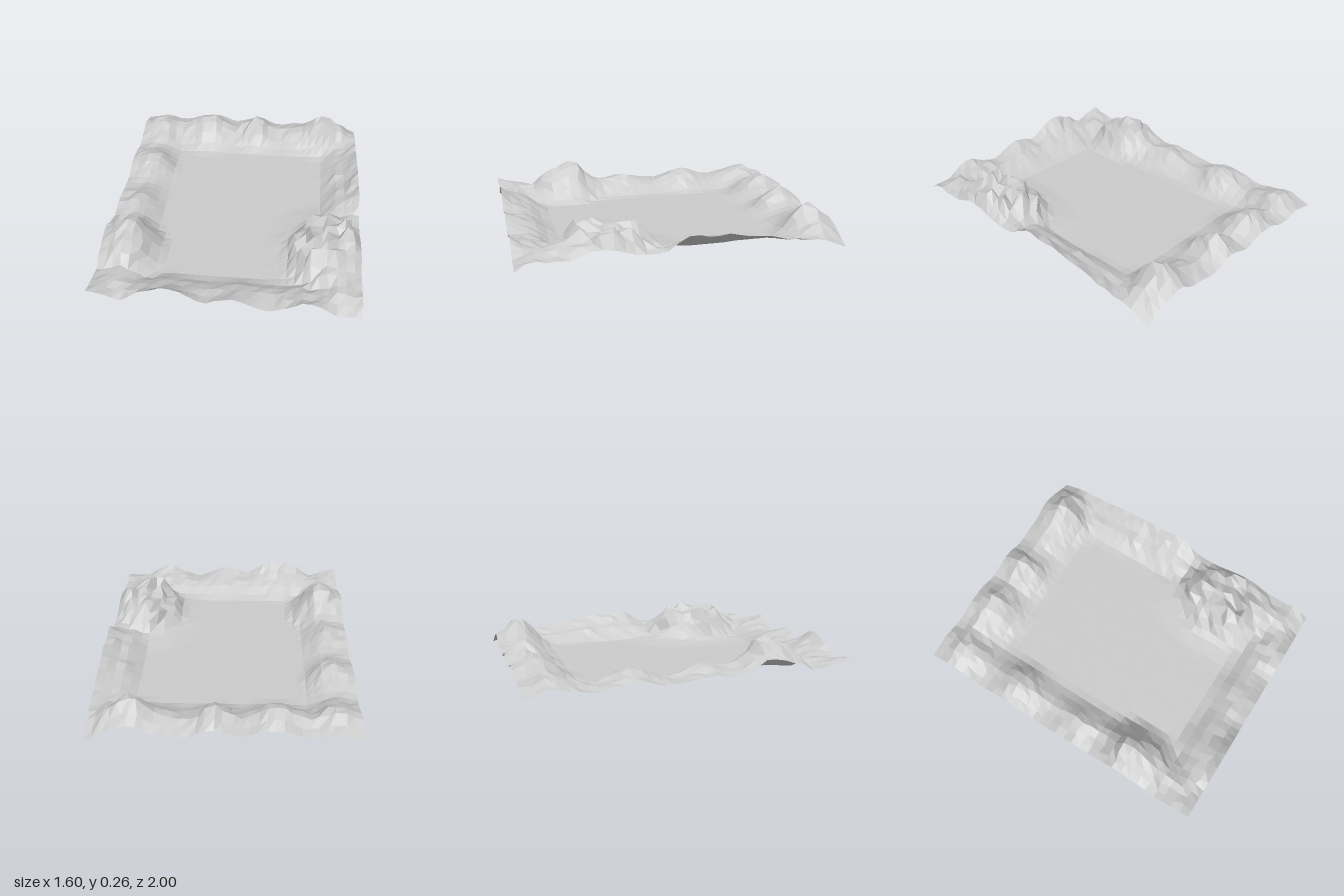
import * as THREE from 'three';

const W = 1.6, D = 2, SEG = 32;

// Each side of the basin: stations of [position along side, rim height, crest height, foot distance]
const sides = {
  left: { crest: 0.15, rows: [
    [-1, 0.04, 0.05, 0.36], [-0.83, 0.08, 0.13, 0.36], [-0.6, 0.05, 0.06, 0.32], [-0.37, 0.1, 0.14, 0.35],
    [-0.15, 0.05, 0.06, 0.32], [0.1, 0.08, 0.12, 0.33], [0.26, 0.07, 0.1, 0.34], [0.48, 0.16, 0.26, 0.41],
    [0.63, 0.12, 0.2, 0.4], [0.76, 0.06, 0.09, 0.34], [0.9, 0.07, 0.08, 0.3], [1, 0.11, 0.07, 0.3]] },
  right: { crest: 0.13, rows: [
    [-1, 0, 0, 0.26], [-0.8, 0.06, 0.05, 0.28], [-0.6, 0.09, 0.05, 0.28], [-0.4, 0.13, 0.07, 0.28],
    [-0.25, 0.15, 0.08, 0.26], [0, 0.16, 0.09, 0.26], [0.15, 0.08, 0.07, 0.3], [0.3, 0.08, 0.13, 0.32],
    [0.5, 0.13, 0.18, 0.34], [0.75, 0.08, 0.13, 0.32], [0.9, 0.09, 0.09, 0.3], [1, 0.04, 0.04, 0.28]] },
  back: { crest: 0.13, rows: [
    [-0.8, 0.04, 0.07, 0.36], [-0.68, 0.07, 0.12, 0.36], [-0.5, 0.05, 0.09, 0.38], [-0.28, 0.1, 0.17, 0.42],
    [-0.1, 0.05, 0.08, 0.38], [0.05, 0.09, 0.17, 0.4], [0.22, 0.04, 0.07, 0.38], [0.38, 0.06, 0.11, 0.39],
    [0.55, 0.11, 0.22, 0.42], [0.66, 0.07, 0.14, 0.38], [0.8, 0, 0.05, 0.34]] },
  front: { crest: 0.12, rows: [
    [-0.8, 0.11, 0.08, 0.3], [-0.62, 0.06, 0.08, 0.3], [-0.5, 0.13, 0.08, 0.29], [-0.35, 0.19, 0.1, 0.33],
    [-0.1, 0.09, 0.07, 0.31], [0.05, 0.13, 0.09, 0.32], [0.25, 0.06, 0.07, 0.32], [0.48, 0.13, 0.09, 0.32],
    [0.57, 0.11, 0.09, 0.32], [0.66, 0.05, 0.09, 0.32], [0.8, 0.04, 0.07, 0.3]] },
};

const ease = (a, b, t) => a + (b - a) * THREE.MathUtils.smoothstep(t, 0, 1);

// Repeatable noise in -1..1 for a grid point
function noise(i, j, seed) {
  const s = Math.sin(i * 127.1 + j * 311.7 + seed * 74.7) * 43758.5453;
  return (s - Math.floor(s)) * 2 - 1;
}

// Height of one bank: rim at distance 0, crest, then down to the floor
function bank({ crest, rows }, along, dist) {
  let k = 1;
  while (k < rows.length - 1 && along > rows[k][0]) k++;
  const a = rows[k - 1], b = rows[k], t = (along - a[0]) / (b[0] - a[0]);
  const [rimH, crestH, foot] = [1, 2, 3].map((c) => ease(a[c], b[c], t));
  return dist < crest
    ? ease(rimH, crestH, dist / crest)
    : ease(crestH, 0, (dist - crest) / (foot - crest));
}

// Elliptical mound around the crag: 1 within the inner radius, 0 outside the outer one
function mound(x, z, inner, outer) {
  const r = Math.hypot((x - 0.6) / 0.26, (z - 0.47) / 0.36);
  return 1 - THREE.MathUtils.smoothstep(r, inner, outer);
}

function buildTerrain() {
  const geo = new THREE.PlaneGeometry(W, D, SEG, SEG).rotateX(-Math.PI / 2);
  const p = geo.attributes.position;
  for (let n = 0; n < p.count; n++) {
    const i = n % (SEG + 1), j = Math.floor(n / (SEG + 1));
    const x = p.getX(n), z = p.getZ(n);

    // Banks merge softly so the inner corners of the basin are rounded
    const banks = [
      bank(sides.left, z, x + W / 2),
      bank(sides.right, z, W / 2 - x),
      bank(sides.back, x, z + D / 2),
      bank(sides.front, x, D / 2 - z)];
    let h = Math.pow(banks.reduce((sum, b) => sum + b ** 4, 0), 0.25);

    // Rough crag in the front corner, with a low apron at its foot
    const inside = i > 0 && j > 0 && i < SEG && j < SEG;
    const crag = inside ? mound(x, z, 0.5, 1.08) : 0;
    const apron = inside ? 0.03 * mound(x, z, 0.7, 1.7) : 0;
    h = Math.max(h, apron + crag * (0.155 + 0.045 * noise(i, j, 3)));

    // Roughness grows with height, the floor stays nearly flat
    h += noise(i, j, 1) * Math.min(0.01, h * 0.1 + 0.001);
    const shift = inside ? Math.min(0.012, h * 0.1) + crag * 0.008 : 0;
    p.setXYZ(n, x + noise(i, j, 5) * shift, Math.max(0, h), z + noise(i, j, 7) * shift);
  }
  const flat = geo.toNonIndexed();
  flat.computeVertexNormals();
  return flat;
}

export function createModel() {
  const group = new THREE.Group();
  group.name = 'basinLandscape';
  const material = new THREE.MeshStandardMaterial({
    color: 0xcccccc, flatShading: true, side: THREE.DoubleSide });
  const terrain = new THREE.Mesh(buildTerrain(), material);
  terrain.name = 'terrain';
  group.add(terrain);
  return group;
}
